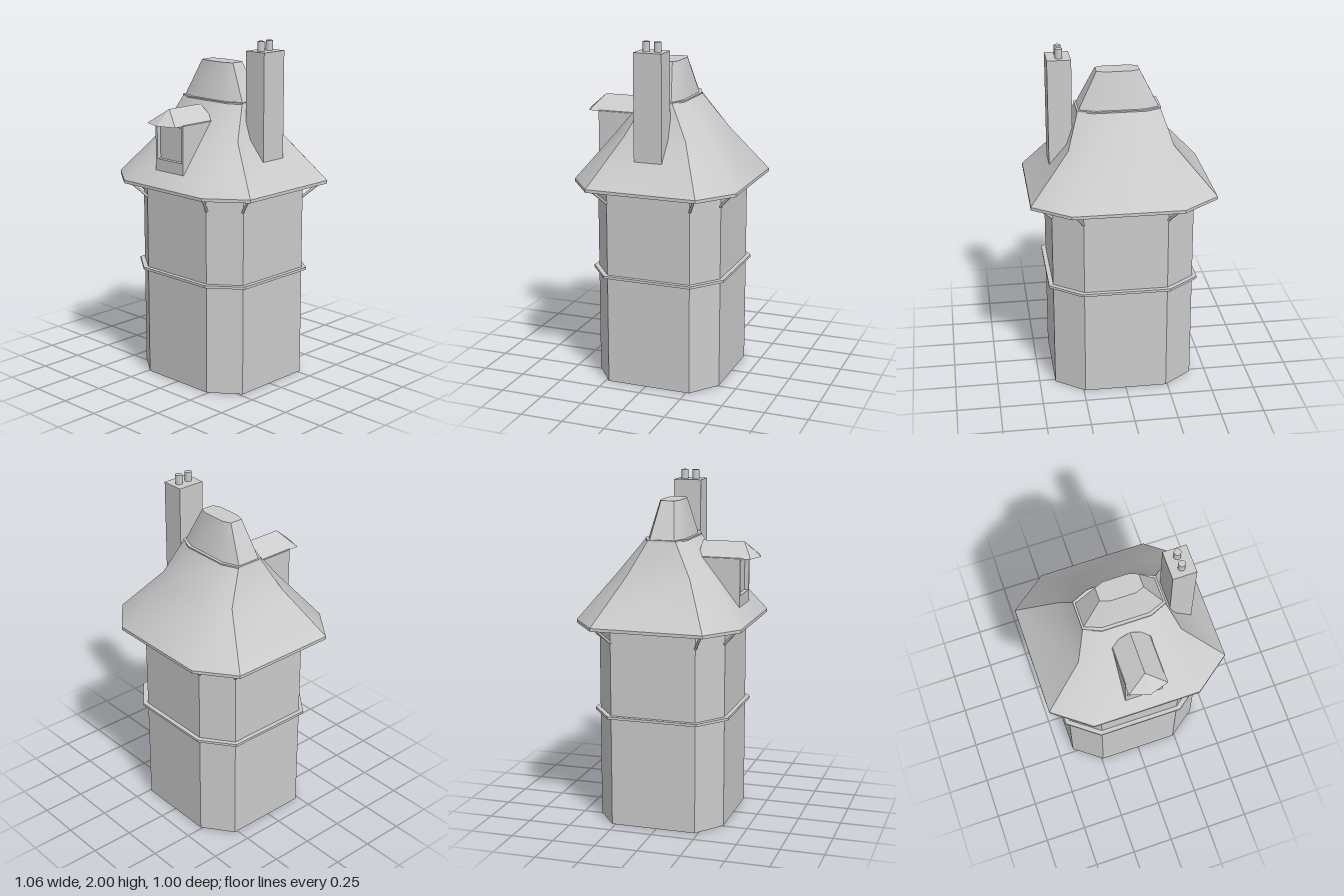
import * as THREE from 'three';
import { toCreasedNormals } from 'three/addons/utils/BufferGeometryUtils.js';

const ZC = -0.019; // tower axis sits slightly behind the origin

// Chamfered rectangle: half sizes hx, hz; flat edges end at cx (front/back) and cz (sides)
function ring([y, hx, hz, cx, cz]) {
  return [[cx, hz], [hx, cz], [hx, -cz], [cx, -hz], [-cx, -hz], [-hx, -cz], [-hx, cz], [-cx, hz]]
    .map(([x, z]) => [x, y, z]);
}

// Closed solid through a stack of chamfered rectangles, bottom to top
function loft(sections) {
  const rings = sections.map(ring);
  const n = 8, pos = [], idx = [];
  rings.forEach((r) => r.forEach((p) => pos.push(...p)));
  for (let k = 0; k < rings.length - 1; k++) {
    for (let i = 0; i < n; i++) {
      const j = (i + 1) % n, a = k * n + i, b = k * n + j;
      idx.push(a, b, b + n, a, b + n, a + n);
    }
  }
  const top = (rings.length - 1) * n;
  for (let i = 1; i < n - 1; i++) {
    idx.push(0, i + 1, i);
    idx.push(top, top + i, top + i + 1);
  }
  const g = new THREE.BufferGeometry();
  g.setAttribute('position', new THREE.Float32BufferAttribute(pos, 3));
  g.setIndex(idx);
  return toCreasedNormals(g, 0.6);
}

export function createModel() {
  const model = new THREE.Group();
  const mat = new THREE.MeshStandardMaterial({ color: 0xcccccc });
  const add = (name, geo, x = 0, y = 0, z = 0, parent = model) => {
    const m = new THREE.Mesh(geo, mat);
    m.name = name;
    m.position.set(x, y, z);
    parent.add(m);
    return m;
  };

  // Eight-sided tower and its string course
  add('towerBody', loft([[0, 0.407, 0.375, 0.24, 0.25], [1.17, 0.407, 0.375, 0.24, 0.25]]), 0, 0, ZC);
  add('beltCourse', loft([[0.64, 0.432, 0.4, 0.253, 0.263], [0.655, 0.432, 0.4, 0.253, 0.263]]), 0, 0, ZC);

  // Flared main roof with a thin eave
  add('mainRoof', loft([
    [1.167, 0.528, 0.486, 0.315, 0.325],
    [1.185, 0.528, 0.486, 0.315, 0.325],
    [1.45, 0.3, 0.28, 0.18, 0.185],
    [1.645, 0.235, 0.125, 0.137, 0.081],
  ]), 0, 0, ZC);

  // Lip and upper cap
  add('roofLip', loft([[1.641, 0.239, 0.127, 0.14, 0.084], [1.65, 0.239, 0.127, 0.14, 0.084]]), 0, 0, ZC);
  add('roofCap', loft([[1.645, 0.23, 0.11, 0.135, 0.073], [1.86, 0.122, 0.058, 0.074, 0.039]]), 0, 0, ZC);

  // Slanted struts under the eave, one at each corner of the tower
  const feet = ring([1.08, 0.403, 0.371, 0.24, 0.25]);
  const heads = ring([1.172, 0.495, 0.455, 0.293, 0.305]);
  feet.forEach((f, i) => {
    const a = new THREE.Vector3(...f), b = new THREE.Vector3(...heads[i]);
    const dir = b.clone().sub(a);
    const strut = add('eaveStrut', new THREE.CylinderGeometry(0.008, 0.008, dir.length(), 8));
    strut.position.copy(a).add(b).multiplyScalar(0.5);
    strut.position.z += ZC;
    strut.quaternion.setFromUnitVectors(new THREE.Vector3(0, 1, 0), dir.normalize());
  });

  // Chimney with two pots
  add('chimney', new THREE.BoxGeometry(0.135, 0.61, 0.165), 0.333, 1.64, -0.018);
  for (const z of [-0.053, 0.015]) {
    add('chimneyPot', new THREE.CylinderGeometry(0.02, 0.02, 0.07, 20), 0.331, 1.965, z);
  }

  // Dormer: walls, recessed window and hipped roof
  const dormer = new THREE.Group();
  dormer.name = 'dormer';
  model.add(dormer);
  const rect = (S, x, y0, y1) => {
    const s = new S();
    s.moveTo(-x, y0); s.lineTo(x, y0); s.lineTo(x, y1); s.lineTo(-x, y1); s.closePath();
    return s;
  };
  const face = rect(THREE.Shape, 0.11, 1.268, 1.55);
  face.holes.push(rect(THREE.Path, 0.097, 1.335, 1.533));
  add('dormerFrame', new THREE.ExtrudeGeometry(face, { depth: 0.025, bevelEnabled: false }), 0, 0, 0.38, dormer);
  add('dormerWalls', new THREE.BoxGeometry(0.22, 0.282, 0.22), 0, 1.409, 0.27, dormer);

  // Corners: back eaves, front eaves, pointed front, ridge back and front
  const roof = new THREE.BufferGeometry();
  roof.setAttribute('position', new THREE.Float32BufferAttribute([
    -0.112, 1.546, 0.157, 0.112, 1.546, 0.157,
    -0.112, 1.546, 0.465, 0.112, 1.546, 0.465,
    0, 1.546, 0.5, 0, 1.63, 0.157, 0, 1.63, 0.402,
  ], 3));
  roof.setIndex([
    0, 2, 6, 0, 6, 5, 3, 1, 5, 3, 5, 6, // slopes
    2, 4, 6, 4, 3, 6, // front hips
    1, 0, 5, // rear gable
    0, 1, 3, 0, 3, 2, 2, 3, 4, // underside
  ]);
  add('dormerRoof', toCreasedNormals(roof, 0.3), 0, 0, 0, dormer);

  return model;
}
